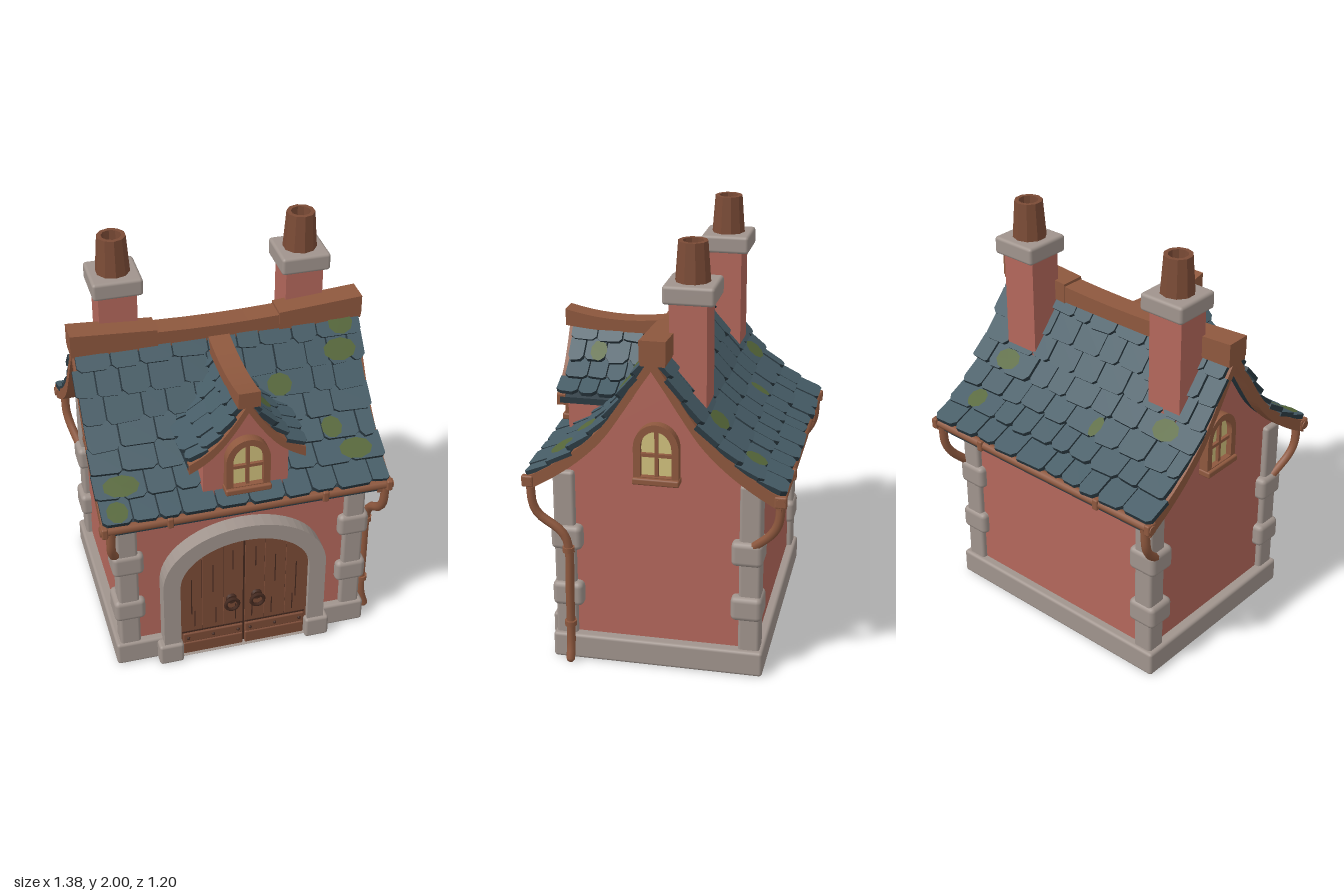
import * as THREE from 'three';
import { RoundedBoxGeometry } from 'three/addons/geometries/RoundedBoxGeometry.js';

const mat = (name, color) => {
  const m = new THREE.MeshStandardMaterial({ color });
  m.name = name;
  return m;
};
const M = {
  wall: mat('rose plaster', 0xb3675b),
  stone: mat('grey stone', 0xa0948d),
  slate: mat('blue slate', 0x465c66),
  slateDark: mat('dark slate', 0x2b3a42),
  wood: mat('warm wood', 0x8e583e),
  door: mat('door wood', 0x7b4b36),
  dark: mat('dark wood', 0x44291f),
  glass: mat('cream glass', 0xd0c07c),
  moss: mat('moss', 0x56673a),
};

// Seeded random in 0..1
let seed = 7;
const rnd = () => (seed = (seed * 16807) % 2147483647) / 2147483647;

function add(parent, name, geo, material, x = 0, y = 0, z = 0) {
  const m = new THREE.Mesh(geo, material);
  m.name = name;
  m.position.set(x, y, z);
  parent.add(m);
  return m;
}
const group = (parent, name) => {
  const g = new THREE.Group();
  g.name = name;
  parent.add(g);
  return g;
};
const rbox = (w, h, d, r = 0.015) => new RoundedBoxGeometry(w, h, d, 2, r);
const V2 = (x, y) => new THREE.Vector2(x, y);

// Extrude along z, centred; alongX turns shape x into z
function extrude(shape, depth, alongX = false) {
  const g = new THREE.ExtrudeGeometry(shape, { depth, bevelEnabled: false, curveSegments: 14 });
  g.translate(0, 0, -depth / 2);
  if (alongX) g.rotateY(-Math.PI / 2);
  return g;
}

// Half roof profiles, ridge to eave (outward distance, height)
const profile = (pts) => new THREE.SplineCurve(pts.map((p) => V2(...p)));
const mainRoof = profile([[0, 1.53], [0.06, 1.44], [0.13, 1.33], [0.22, 1.2], [0.33, 1.09], [0.45, 1.0], [0.575, 0.925]]);
const dormerRoof = profile([[0, 1.46], [0.06, 1.365], [0.13, 1.275], [0.2, 1.215], [0.27, 1.175]]);

// Both slopes as one line, left to right
function fullLine(curve, dy, limit = 9) {
  const half = curve.getSpacedPoints(24).filter((p) => p.x <= limit);
  const right = half.map((p) => V2(p.x, p.y + dy));
  return [...right.slice(1).reverse().map((p) => V2(-p.x, p.y)), ...right];
}
const stripShape = (curve, top, bottom) =>
  new THREE.Shape([...fullLine(curve, bottom), ...fullLine(curve, top).reverse()]);
const gableShape = (curve, hw, y0) =>
  new THREE.Shape([V2(-hw, y0), V2(hw, y0), ...fullLine(curve, -0.025, hw).reverse()]);

// Overlapping slates on one slope facing +z; moss spots are [row, x, radius]
function slateSlope(parent, name, curve, x0, x1, rows, tileW, spots = []) {
  const g = group(parent, name);
  const pts = curve.getSpacedPoints(rows).reverse();
  for (let i = 0; i < rows; i++) {
    const a = pts[i], b = pts[i + 1];
    const row = group(g, 'slateRow');
    const len = a.distanceTo(b);
    const slope = Math.atan2(b.x - a.x, b.y - a.y);
    row.position.set(0, a.y - Math.sin(slope) * 0.018, a.x + Math.cos(slope) * 0.018);
    row.rotation.x = slope - 0.018 / len;
    let x = x0 + (rnd() - 0.5) * 0.025;
    while (x < x1 - 0.02) {
      let w = tileW * (0.75 + rnd() * 0.55);
      if (x1 - x - w < tileW * 0.5) w = x1 - x + (rnd() - 0.5) * 0.02;
      const c = 0.012 + rnd() * 0.012, drop = (rnd() - 0.5) * 0.022, L = len * 1.12, e = w - 0.007;
      const s = new THREE.Shape([V2(c, drop), V2(e - c, drop * 0.4), V2(e, c), V2(e, L), V2(0, L), V2(0, c)]);
      const t = 0.018 + rnd() * 0.008;
      add(row, 'slate', new THREE.ExtrudeGeometry(s, { depth: t, bevelEnabled: false }), [M.slate, M.slateDark], x);
      x += w;
    }
    for (const [r, sx, rad] of spots) {
      if (r === i) add(row, 'mossPatch', new THREE.CircleGeometry(rad, 9).scale(1, 0.055 / rad, 1), M.moss, sx, len * 0.48, 0.0275);
    }
  }
  return g;
}

// Arched outline: straight sides, elliptical top
function archShape(hw, y0, spring, top, Kind = THREE.Shape) {
  const s = new Kind();
  s.moveTo(-hw, y0);
  s.lineTo(hw, y0);
  s.lineTo(hw, spring);
  s.absellipse(0, spring, hw, top - spring, 0, Math.PI, false, 0);
  s.lineTo(-hw, y0);
  return s;
}

function archedWindow(parent, name, x, y, z, turn) {
  const g = group(parent, name);
  g.position.set(x, y, z);
  g.rotation.y = turn;
  const frame = archShape(0.103, 0, 0.17, 0.285);
  frame.holes.push(archShape(0.071, 0.035, 0.17, 0.253, THREE.Path));
  add(g, 'windowFrame', extrude(frame, 0.06), M.wood, 0, 0, 0.01);
  add(g, 'panes', extrude(archShape(0.075, 0.03, 0.17, 0.256), 0.008), M.glass, 0, 0, 0.008);
  add(g, 'uprightBar', new THREE.BoxGeometry(0.016, 0.22, 0.02), M.wood, 0, 0.143, 0.018);
  add(g, 'crossBar', new THREE.BoxGeometry(0.145, 0.016, 0.02), M.wood, 0, 0.135, 0.018);
  add(g, 'sill', rbox(0.215, 0.032, 0.08, 0.008), M.wood, 0, 0.015, 0.015);
}

// Beam whose top and underside lift by a rule
function beam(w, h, d, rule) {
  const g = new THREE.BoxGeometry(w, h, d, 10, 1, 10).toNonIndexed();
  const p = g.attributes.position;
  for (let i = 0; i < p.count; i++) p.setY(i, p.getY(i) + rule(p.getX(i), p.getY(i) > 0, p.getZ(i)));
  g.computeVertexNormals();
  return g;
}

function pipe(parent, name, pts) {
  const curve = new THREE.CatmullRomCurve3(pts.map((p) => new THREE.Vector3(...p)), false, 'centripetal');
  add(parent, name, new THREE.TubeGeometry(curve, 30, 0.021, 8), M.wood);
  const end = add(parent, 'pipeEnd', new THREE.SphereGeometry(0.021, 8, 6), M.wood);
  end.position.set(...pts[pts.length - 1]);
}

export function createModel() {
  const house = new THREE.Group();
  house.name = 'cottage';

  // Walls, plinth and corner stones
  add(house, 'walls', extrude(gableShape(mainRoof, 0.455, 0.05), 1.15, true), M.wall);
  add(house, 'plinth', rbox(1.25, 0.125, 0.99), M.stone, 0, 0.0625, -0.003);
  for (const sx of [-1, 1]) for (const sz of [-1, 1]) {
    const q = group(house, 'cornerStones');
    add(q, 'cornerPost', rbox(0.1, 0.86, 0.1), M.stone, sx * 0.553, 0.515, sz * 0.43);
    for (const y of [0.335, 0.615])
      add(q, 'cornerBlock', rbox(0.15, 0.12, 0.145, 0.025), M.stone, sx * 0.55, y + (rnd() - 0.5) * 0.02, sz * 0.418);
  }

  // Main roof
  const roof = group(house, 'roof');
  add(roof, 'roofDeck', extrude(stripShape(mainRoof, 0, -0.04), 1.33, true), M.slateDark);
  for (const s of [-1, 1])
    add(roof, 'vergeBoard', extrude(stripShape(mainRoof, 0.012, -0.052), 0.06, true), M.wood, s * 0.648);
  slateSlope(roof, 'frontSlates', mainRoof, -0.68, 0.68, 7, 0.135,
    [[5, 0.56, 0.08], [6, 0.58, 0.06], [1, -0.56, 0.085], [0, -0.6, 0.05], [1, 0.55, 0.08], [4, 0.25, 0.06], [2, 0.46, 0.05]]);
  slateSlope(roof, 'backSlates', mainRoof, -0.68, 0.68, 7, 0.135,
    [[1, -0.52, 0.05], [3, -0.48, 0.07], [3, 0.5, 0.07], [2, 0.16, 0.03]]).rotation.y = Math.PI;
  add(roof, 'ridgeBeam', beam(1.37, 0.075, 0.11, (x, top) => (top ? 0.04 : 0.008) * (x / 0.68) ** 2), M.wood, 0, 1.533, -0.008);
  for (const s of [-1, 1])
    add(roof, 'ridgeEndCap', beam(0.4, 0.08, 0.118, (x, top) => (top ? 0.028 : 0.01) + x * s * 0.07), M.wood, s * 0.487, 1.537, -0.008);

  // Gutters and downpipes
  const drains = group(house, 'drains');
  for (const s of [-1, 1]) {
    add(drains, 'gutter', new THREE.CylinderGeometry(0.022, 0.022, 1.38, 8).rotateZ(Math.PI / 2), M.wood, 0, 0.918, s * 0.572);
    for (const x of [-0.37, 0.36, -0.67, 0.67])
      add(drains, 'gutterClip', rbox(0.03, 0.055, 0.055, 0.008), M.wood, x, 0.918, s * 0.572);
  }
  pipe(drains, 'longDownpipe', [[0.66, 0.92, 0.565], [0.66, 0.8, 0.555], [0.655, 0.75, 0.53], [0.648, 0.67, 0.43],
    [0.645, 0.61, 0.402], [0.642, 0.35, 0.4], [0.645, 0.1, 0.4], [0.665, 0.022, 0.4]]);
  for (const y of [0.58, 0.2])
    add(drains, 'pipeCollar', new THREE.CylinderGeometry(0.029, 0.029, 0.025, 8), M.wood, 0.643, y, 0.4);
  for (const [sx, sz] of [[-1, 1], [-1, -1], [1, -1]])
    pipe(drains, 'shortDownpipe', [[sx * 0.64, 0.92, sz * 0.57], [sx * 0.64, 0.8, sz * 0.56], [sx * 0.63, 0.74, sz * 0.53], [sx * 0.6, 0.65, sz * 0.44]]);

  // Dormer
  const dormer = group(house, 'dormer');
  add(dormer, 'dormerWalls', extrude(gableShape(dormerRoof, 0.2, 0.965), 0.41), M.wall, 0, 0, 0.305);
  add(dormer, 'dormerDeck', extrude(stripShape(dormerRoof, 0, -0.03), 0.5), M.slateDark, 0, 0, 0.28);
  add(dormer, 'dormerVerge', extrude(stripShape(dormerRoof, 0.01, -0.04), 0.04), M.wood, 0, 0, 0.525);
  slateSlope(dormer, 'dormerSlates', dormerRoof, -0.535, -0.04, 4, 0.1, [[2, -0.38, 0.04]]).rotation.y = Math.PI / 2;
  slateSlope(dormer, 'dormerSlates', dormerRoof, 0.04, 0.535, 4, 0.1).rotation.y = -Math.PI / 2;
  add(dormer, 'dormerRidge', beam(0.1, 0.06, 0.53, (x, top, z) => 0.03 * (z / 0.26 + 0.1) ** 2 * (top ? 1 : 0.5)), M.wood, 0, 1.465, 0.29);
  archedWindow(dormer, 'dormerWindow', 0, 0.995, 0.515, 0);

  // Gable windows
  for (const s of [-1, 1]) archedWindow(house, 'gableWindow', s * 0.58, 0.925, -0.005, s * Math.PI / 2);

  // Chimneys
  for (const x of [-0.445, 0.435]) {
    const c = group(house, 'chimney');
    c.position.set(x, 0, -0.135);
    add(c, 'stack', new THREE.BoxGeometry(0.178, 0.65, 0.168), M.wall, 0, 1.43, 0.005);
    add(c, 'cap', rbox(0.232, 0.085, 0.232), M.stone, 0, 1.78, 0);
    const pot = new THREE.LatheGeometry([V2(0.08, 1.815), V2(0.066, 2), V2(0.046, 2), V2(0.046, 1.94)], 10).toNonIndexed();
    pot.computeVertexNormals();
    add(c, 'pot', pot, M.door);
    add(c, 'flue', new THREE.CircleGeometry(0.05, 10).rotateX(-Math.PI / 2), M.dark, 0, 1.945, 0);
  }

  // Stone doorway
  const doorway = group(house, 'doorway');
  const arch = archShape(0.4, 0.02, 0.47, 0.77);
  arch.holes.push(archShape(0.318, 0.021, 0.46, 0.69, THREE.Path));
  add(doorway, 'stoneArch', extrude(arch, 0.1), M.stone, 0, 0, 0.485);
  for (const s of [-1, 1]) add(doorway, 'archFoot', rbox(0.12, 0.115, 0.12), M.stone, s * 0.367, 0.0575, 0.49);

  // Double door: planks follow the arch
  add(doorway, 'doorBacking', extrude(archShape(0.318, 0.02, 0.46, 0.69), 0.03), M.dark, 0, 0, 0.484);
  const archTop = (x) => 0.46 + 0.23 * Math.sqrt(Math.max(0, 1 - (x / 0.32) ** 2));
  for (const s of [-1, 1]) {
    const leaf = group(doorway, 'doorLeaf');
    [[0.006, 0.1], [0.104, 0.205], [0.209, 0.318]].forEach(([a, b], k) => {
      const top = [0, 1, 2, 3, 4, 5].map((i) => b + ((a - b) * i) / 5).map((x) => V2(s * x, archTop(x)));
      const plank = new THREE.Shape([V2(s * a, 0.025), V2(s * b, 0.025), ...top]);
      add(leaf, 'plank', extrude(plank, 0.012), M.door, 0, 0, 0.503);
      const h = 0.12 + 0.05 * k;
      add(leaf, 'woodCrack', new THREE.BoxGeometry(0.005, h, 0.003), M.dark, s * (a + 0.05), 0.62 - h / 2 - 0.07 * k, 0.509);
      add(leaf, 'woodCrack', new THREE.BoxGeometry(0.005, 0.1, 0.003), M.dark, s * (a + 0.035), 0.23, 0.509);
    });
    add(leaf, 'shadowGap', new THREE.BoxGeometry(0.305, 0.008, 0.004), M.dark, s * 0.157, 0.152, 0.51);
    add(leaf, 'kickBoard', rbox(0.298, 0.055, 0.02, 0.006), M.door, s * 0.155, 0.12, 0.512);
    add(leaf, 'bottomBoard', rbox(0.298, 0.072, 0.016, 0.006), M.door, s * 0.155, 0.05, 0.511);
    for (const x of [0.03, 0.155, 0.28])
      add(leaf, 'rivet', new THREE.SphereGeometry(0.009, 8, 6), M.dark, s * x, 0.12, 0.522);
    add(leaf, 'handlePlate', new THREE.CylinderGeometry(0.024, 0.028, 0.015, 10).rotateX(Math.PI / 2), M.dark, s * 0.063, 0.32, 0.515);
    add(leaf, 'handleRing', new THREE.TorusGeometry(0.032, 0.009, 6, 16), M.dark, s * 0.063, 0.295, 0.527);
  }
  return house;
}
